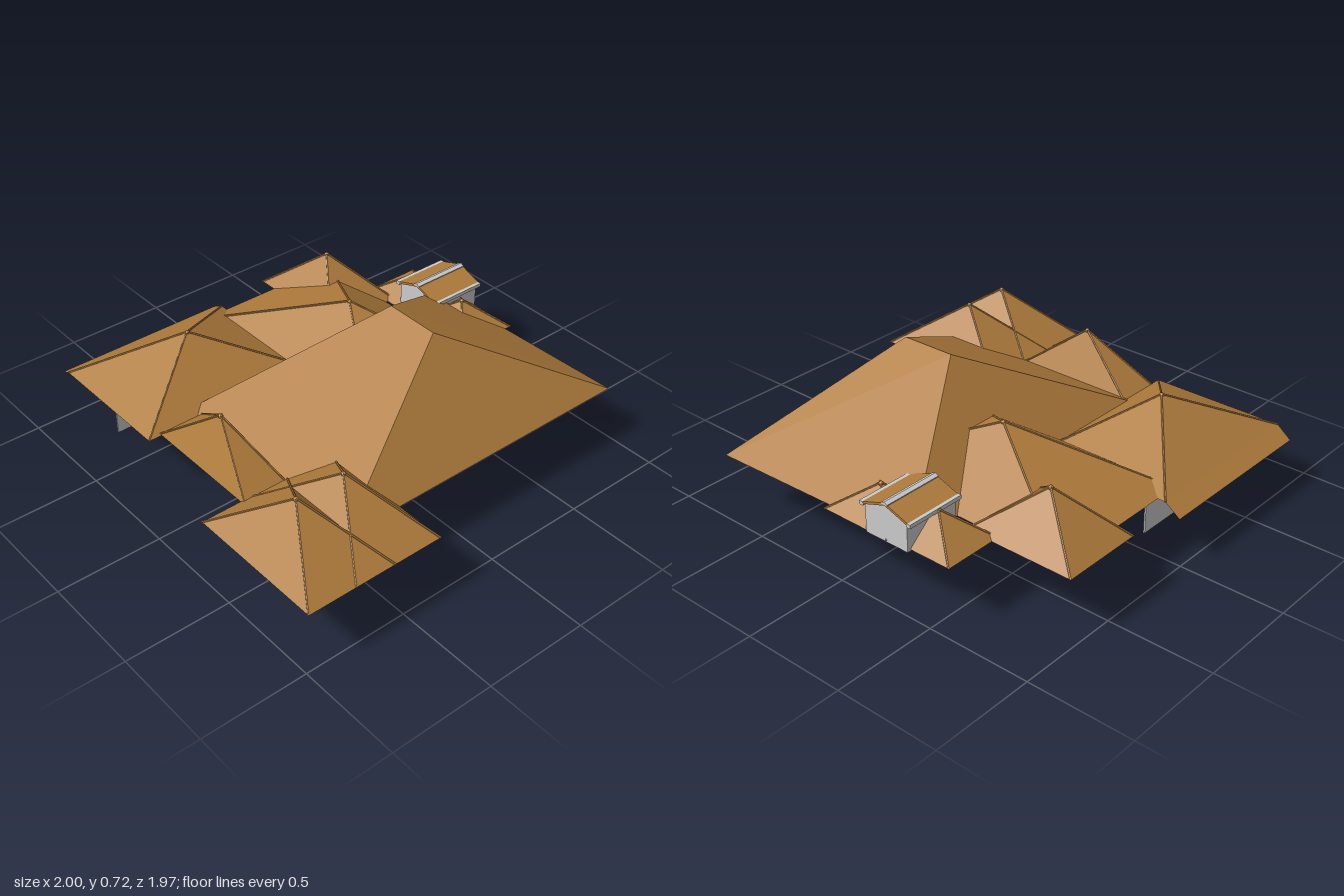
import * as THREE from 'three';
import { ConvexGeometry } from 'three/addons/geometries/ConvexGeometry.js';

const BASE = 0.295;
const tiles = new THREE.MeshStandardMaterial({ color: 0xb07c3c, flatShading: true });
const thinTiles = new THREE.MeshStandardMaterial({ color: 0xb07c3c, flatShading: true, side: THREE.DoubleSide });
const grey = new THREE.MeshStandardMaterial({ color: 0xcccccc, flatShading: true });
const v = (x, y, z) => new THREE.Vector3(x, y, z);

function add(parent, name, geometry, material) {
  const mesh = new THREE.Mesh(geometry, material);
  mesh.name = name;
  parent.add(mesh);
  return mesh;
}

// Thin rounded cap laid along a hip line
function hipCap(parent, a, b) {
  const dir = b.clone().sub(a);
  const cap = add(parent, 'hipCap', new THREE.CylinderGeometry(0.005, 0.005, dir.length(), 6), tiles);
  cap.position.copy(a).add(b).multiplyScalar(0.5);
  cap.quaternion.setFromUnitVectors(v(0, 1, 0), dir.normalize());
}

// Closed pyramid roof on a rectangular eave, with capped hips
function pyramidRoof(parent, name, [x0, x1, z0, z1], [ax, ay, az]) {
  const group = new THREE.Group();
  group.name = name;
  const apex = v(ax, ay, az);
  const corners = [[x0, z0], [x1, z0], [x1, z1], [x0, z1]].map(([x, z]) => v(x, BASE, z));
  add(group, 'slopes', new ConvexGeometry([...corners, apex]), tiles);
  corners.forEach((c) => hipCap(group, c, apex));
  const knob = add(group, 'apexCap', new THREE.SphereGeometry(0.012, 8, 6), tiles);
  knob.position.copy(apex).y -= 0.005;
  parent.add(group);
}

// Cross-section in x and y, extruded along z
function prism(points, z0, z1) {
  const shape = new THREE.Shape(points.map(([x, y]) => new THREE.Vector2(x, y)));
  return new THREE.ExtrudeGeometry(shape, { depth: z1 - z0, bevelEnabled: false }).translate(0, 0, z0);
}

export function createModel() {
  const model = new THREE.Group();
  model.name = 'houseRoof';

  // Main hip roof with a short ridge
  add(model, 'mainRoof', new ConvexGeometry([
    v(-0.34, BASE, -0.93), v(0.75, BASE, -0.96), v(0.75, BASE, 0.6), v(-0.34, BASE, 0.6),
    v(0.09, 0.72, -0.22), v(0.36, 0.718, -0.22),
  ]), tiles);

  // Surrounding pyramid roofs: eave rectangle (x0, x1, z0, z1), apex
  const roofs = [
    ['sideRoof', [-0.88, 0.36, -0.66, 0.1], [-0.26, 0.545, -0.28]],
    ['frontWingRoof', [-0.92, -0.26, -0.02, 0.85], [-0.58, 0.508, 0.41]],
    ['rearCornerRoof', [-0.97, -0.43, -0.71, -0.31], [-0.7, 0.508, -0.505]],
    ['rearRoofOuter', [-0.57, -0.2, -0.96, -0.67], [-0.385, 0.42, -0.815]],
    ['rearRoofInner', [-0.25, 0.11, -0.975, -0.665], [-0.07, 0.42, -0.82]],
    ['entryRoof', [-0.275, 0.345, 0.565, 0.785], [0.04, 0.53, 0.675]],
    ['garageRoofBack', [0.31, 0.995, 0.305, 0.745], [0.655, 0.53, 0.525]],
    ['garageRoofFront', [0.31, 0.995, 0.545, 0.98], [0.655, 0.53, 0.765]],
  ];
  roofs.forEach(([name, eave, apex]) => pyramidRoof(model, name, eave, apex));

  // Lowered eave along the outer side of the front wing
  const flap = new THREE.PlaneGeometry(1, 1);
  const p = flap.attributes.position;
  for (let i = 0; i < p.count; i++) {
    const outer = p.getX(i) < 0, front = p.getY(i) < 0;
    p.setXYZ(i, outer ? -1 : -0.92, outer ? 0.248 : BASE, front ? (outer ? 0.835 : 0.85) : (outer ? -0.03 : -0.02));
  }
  flap.computeVertexNormals();
  add(model, 'loweredEave', flap, thinTiles);

  // Single wall panel under the wing
  const wall = add(model, 'wallPanel', new THREE.BoxGeometry(0.008, BASE, 0.625), grey);
  wall.position.set(-0.735, BASE / 2, 0.418);

  // Rear dormer: gabled box, two roof slabs and trim strips
  const dormer = new THREE.Group();
  dormer.name = 'dormer';
  dormer.position.x = -0.25;
  add(dormer, 'dormerWalls', prism([[-0.115, 0.287], [0.115, 0.287], [0.115, 0.42], [0, 0.46], [-0.115, 0.42]], -0.975, -0.695), grey);
  for (const s of [-1, 1]) {
    const slab = [[0, 0.46], [s * 0.138, 0.412], [s * 0.138, 0.424], [0, 0.472]];
    add(dormer, 'dormerRoofSlab', prism(s > 0 ? slab : slab.reverse(), -0.98, -0.69), tiles);
    const trim = add(dormer, 'dormerEaveTrim', new THREE.BoxGeometry(0.02, 0.018, 0.294), grey);
    trim.position.set(s * 0.13, 0.42, -0.835);
  }
  add(dormer, 'dormerRidgeTrim', prism([[-0.018, 0.464], [0.018, 0.464], [0.018, 0.47], [0, 0.477], [-0.018, 0.47]], -0.982, -0.688), grey);
  model.add(dormer);

  return model;
}
